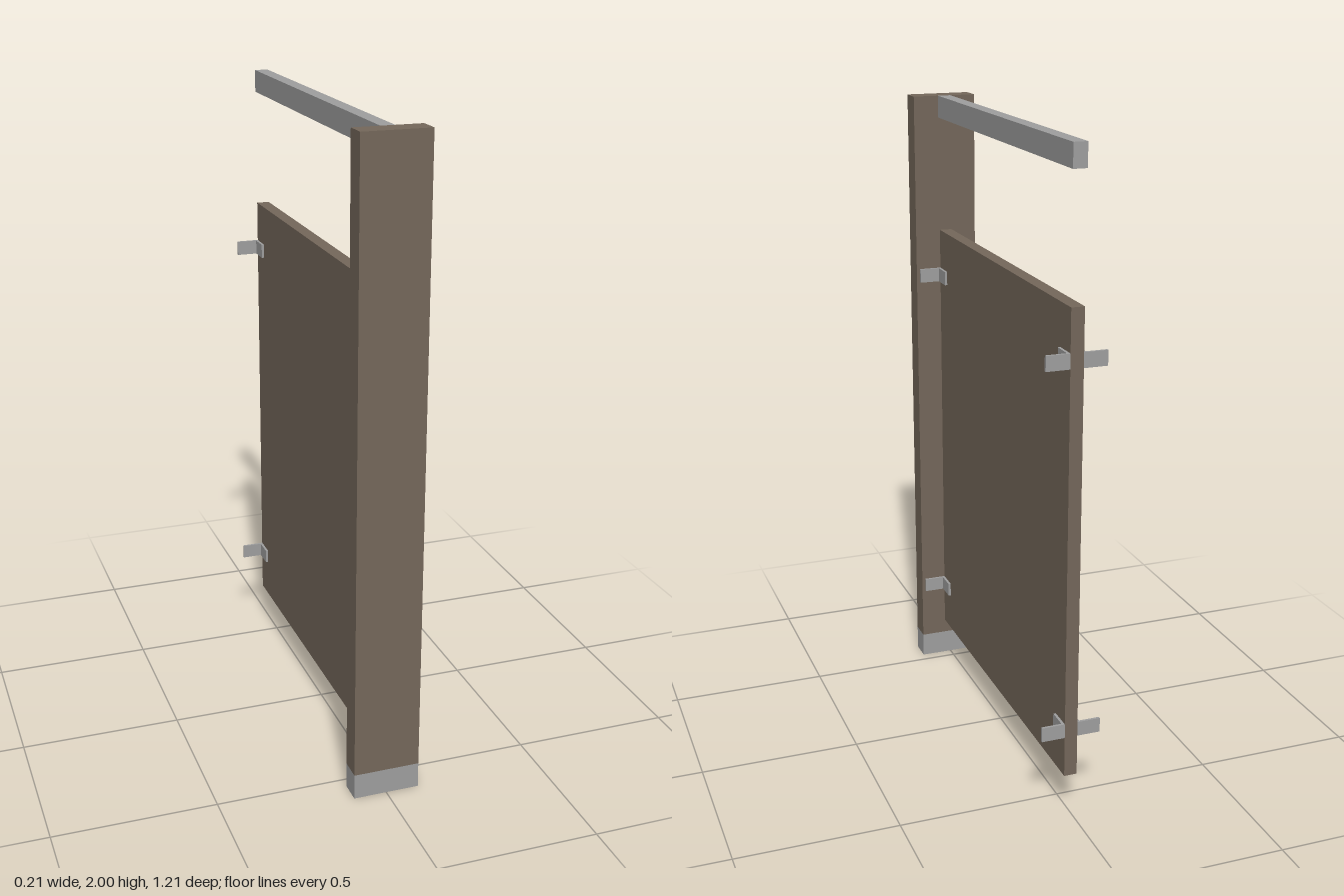
import * as THREE from 'three';

export function createModel() {
  const model = new THREE.Group();
  model.name = 'partitionScreen';

  const brown = new THREE.MeshStandardMaterial({ color: 0x74675a });
  brown.name = 'brown laminate';
  const grey = new THREE.MeshStandardMaterial({ color: 0x9e9e9e });
  grey.name = 'grey metal';

  const FRONT = 0.605, BACK = -0.605, POST_BACK = 0.535;
  const HALF_PANEL = 0.02;

  // Box given by its half width and its y and z limits
  function slab(name, material, halfX, y0, y1, z0, z1) {
    const mesh = new THREE.Mesh(new THREE.BoxGeometry(halfX * 2, y1 - y0, z1 - z0), material);
    mesh.position.set(0, (y0 + y1) / 2, (z0 + z1) / 2);
    mesh.name = name;
    model.add(mesh);
  }

  // Post on its metal shoe, hung panel and head rail
  slab('postShoe', grey, 0.103, 0, 0.08, POST_BACK, FRONT);
  slab('post', brown, 0.103, 0.08, 2, POST_BACK, FRONT);
  slab('panel', brown, HALF_PANEL, 0.127, 1.56, BACK, POST_BACK);
  slab('headRail', grey, 0.021, 1.93, 2, BACK, POST_BACK);

  // L-shaped bracket: one leg on the panel, one on the post or wall
  const leg = 0.072, thick = 0.008, height = 0.045;
  function bracketGeometry(sideX, dirZ) {
    const points = [[0, 0], [leg, 0], [leg, thick], [thick, thick], [thick, leg], [0, leg]]
      .map(([x, z]) => new THREE.Vector2(x * sideX, -z * dirZ));
    const geometry = new THREE.ExtrudeGeometry(new THREE.Shape(points), { depth: height, bevelEnabled: false });
    return geometry.rotateX(-Math.PI / 2);
  }

  for (const sideX of [1, -1]) {
    for (const [end, z, dirZ] of [['front', POST_BACK, -1], ['back', BACK, 1]]) {
      const geometry = bracketGeometry(sideX, dirZ);
      for (const [level, y] of [['Lower', 0.255], ['Upper', 1.387]]) {
        const bracket = new THREE.Mesh(geometry, grey);
        bracket.name = `${end}${level}${sideX > 0 ? 'Left' : 'Right'}Bracket`;
        bracket.position.set(sideX * HALF_PANEL, y, z);
        model.add(bracket);
      }
    }
  }

  return model;
}
